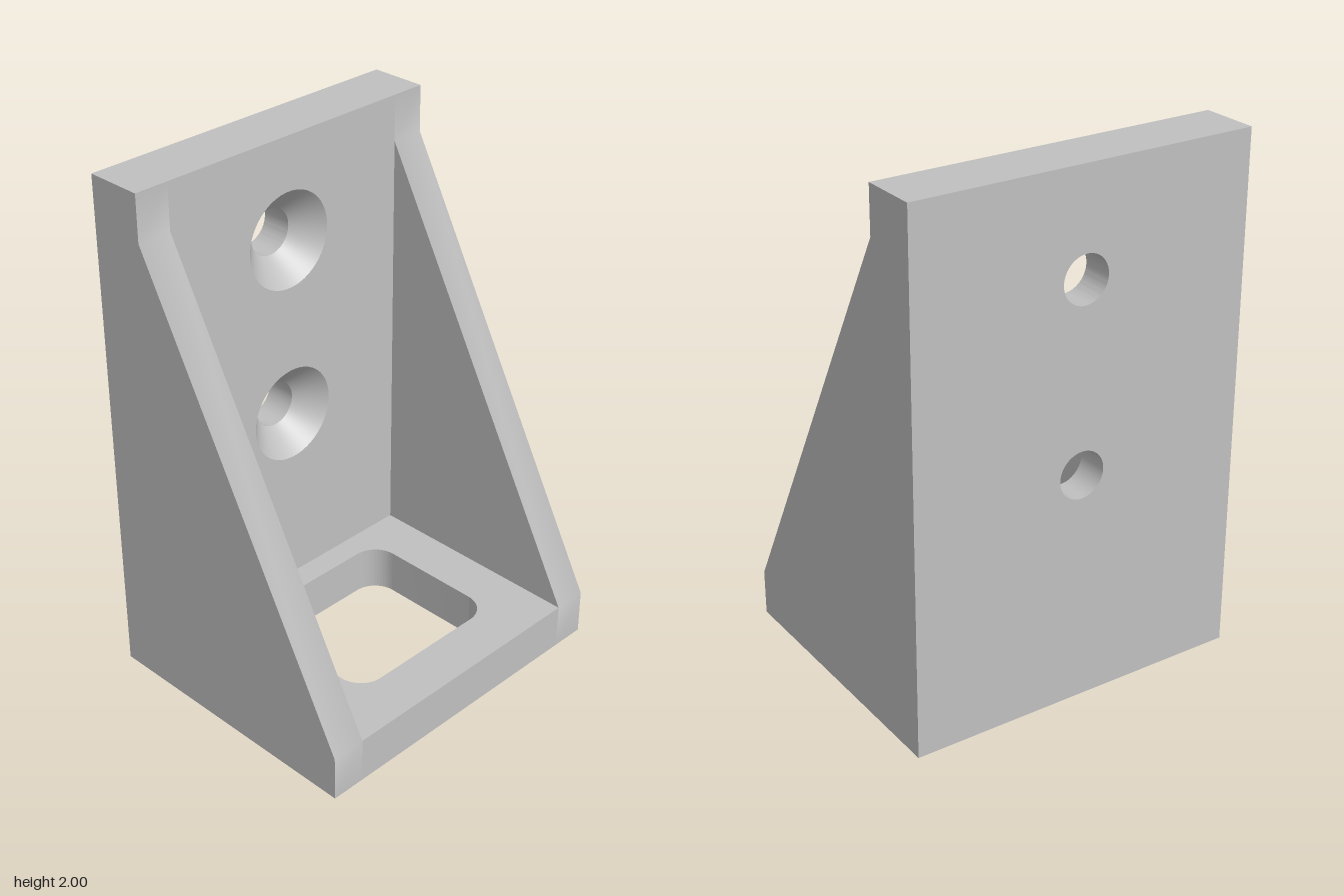
import * as THREE from 'three';
import { toCreasedNormals } from 'three/addons/utils/BufferGeometryUtils.js';

const W = 0.667, INNER = 0.533;               // half widths: outside, between the walls
const BACK = -0.556, PLATE = -0.333, FRONT = 0.556;
const BASE = 0.178, TOP = 2;
const HOLE_YS = [0.893, 1.605], HOLE_R = 0.09, SINK_R = 0.187, SINK_Z = -0.433;

const polygon = (pts) => new THREE.Shape(pts.map(([x, y]) => new THREE.Vector2(x, y)));

function extrude(shape, depth) {
  const geometry = new THREE.ExtrudeGeometry(shape, { depth, bevelEnabled: false, curveSegments: 32 });
  return toCreasedNormals(geometry, 0.6);
}

function roundedRect(x0, y0, x1, y1, r) {
  const p = new THREE.Path();
  p.moveTo(x0 + r, y0);
  p.lineTo(x1 - r, y0);
  p.absarc(x1 - r, y0 + r, r, -Math.PI / 2, 0);
  p.lineTo(x1, y1 - r);
  p.absarc(x1 - r, y1 - r, r, 0, Math.PI / 2);
  p.lineTo(x0 + r, y1);
  p.absarc(x0 + r, y1 - r, r, Math.PI / 2, Math.PI);
  p.lineTo(x0, y0 + r);
  p.absarc(x0 + r, y0 + r, r, Math.PI, Math.PI * 1.5);
  return p;
}

export function createModel() {
  const model = new THREE.Group();
  model.name = 'angleBracket';
  const grey = new THREE.MeshStandardMaterial({ color: 0xc0c0c0 });
  grey.name = 'grey';
  const add = (name, geometry) => {
    const mesh = new THREE.Mesh(geometry, grey);
    mesh.name = name;
    model.add(mesh);
    return mesh;
  };

  // Sloped side walls, drawn in the z-y plane
  const wall = polygon([
    [BACK, 0], [FRONT, 0], [FRONT, BASE], [PLATE, TOP - BASE], [PLATE, TOP], [BACK, TOP],
  ]);
  for (const [name, x] of [['leftWall', W], ['rightWall', -INNER]]) {
    add(name, extrude(wall, W - INNER).rotateY(-Math.PI / 2).translate(x, 0, 0));
  }

  // Base with its rounded window, drawn with y as -z
  const base = polygon([[-INNER, -FRONT], [INNER, -FRONT], [INNER, -BACK], [-INNER, -BACK]]);
  base.holes.push(roundedRect(-0.344, -0.364, 0.344, 0.236, 0.1));
  add('base', extrude(base, BASE).rotateX(-Math.PI / 2));

  // Back plate in two layers: narrow screw holes behind, wide openings in front
  const layers = [
    ['backPlateRear', HOLE_R, BACK, SINK_Z],
    ['backPlateFront', SINK_R, SINK_Z, PLATE],
  ];
  for (const [name, r, z0, z1] of layers) {
    const plate = polygon([[-INNER, BASE], [INNER, BASE], [INNER, TOP], [-INNER, TOP]]);
    for (const y of HOLE_YS) {
      plate.holes.push(new THREE.Path().absarc(0, y, r, 0, Math.PI * 2, true));
    }
    add(name, extrude(plate, z1 - z0).translate(0, 0, z0));
  }

  // Countersinks, facing inwards
  for (const y of HOLE_YS) {
    const profile = [new THREE.Vector2(SINK_R, PLATE), new THREE.Vector2(HOLE_R, SINK_Z)];
    add('countersink', new THREE.LatheGeometry(profile, 64).rotateX(Math.PI / 2).translate(0, y, 0));
  }

  return model;
}
